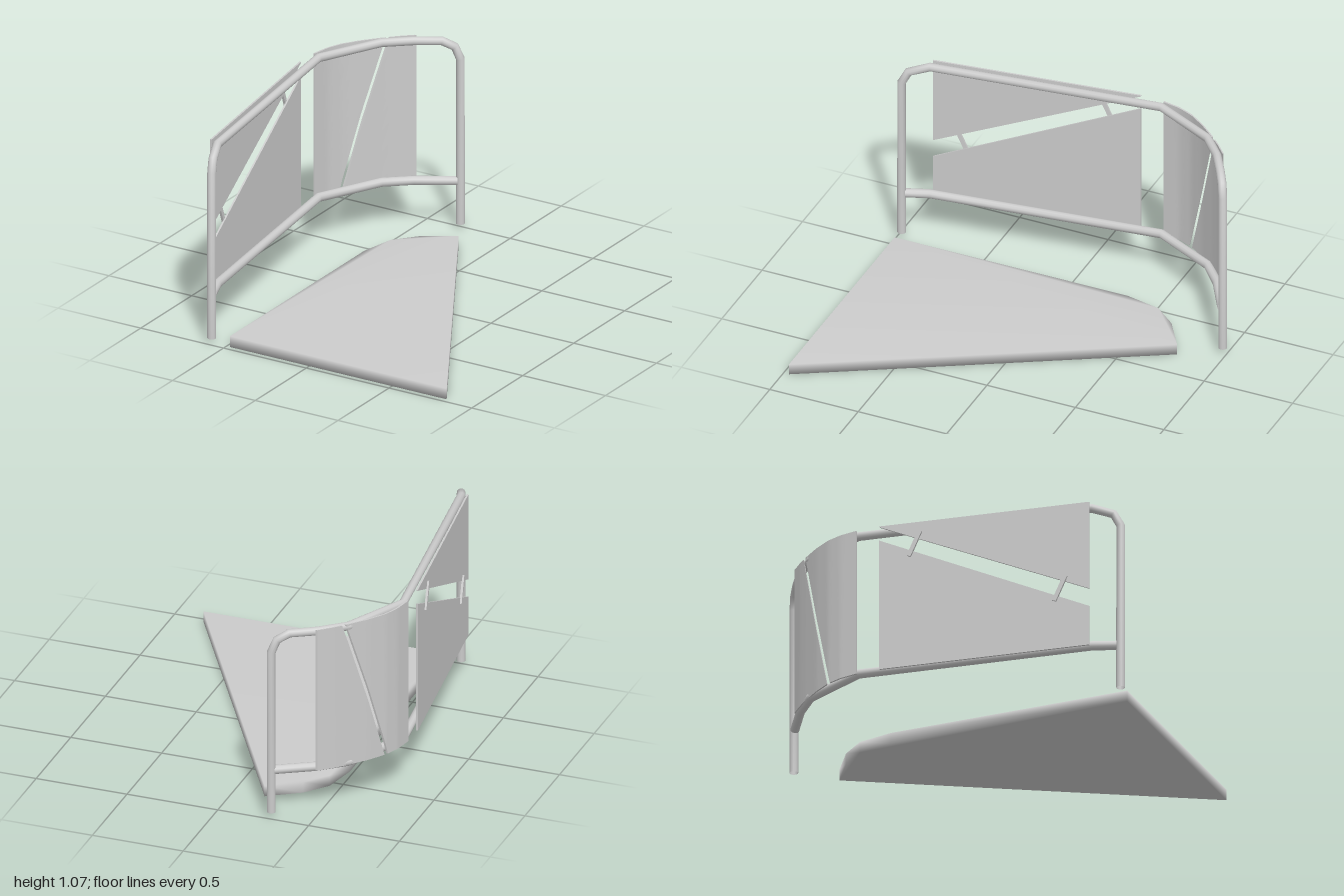
import * as THREE from 'three';
import { mergeVertices } from 'three/addons/utils/BufferGeometryUtils.js';

const grey = new THREE.MeshStandardMaterial({ color: 0xcccccc });
const greyBoth = new THREE.MeshStandardMaterial({ color: 0xcccccc, side: THREE.DoubleSide });

// Polyline path with mitred corners
class Polyline extends THREE.Curve {
  constructor(points) {
    super();
    this.p = points.map((q) => new THREE.Vector3(...q));
  }
  index(u) {
    return Math.round(u * (this.p.length - 1));
  }
  getPointAt(u) {
    return this.p[this.index(u)].clone();
  }
  getTangentAt(u) {
    const i = this.index(u), p = this.p, t = new THREE.Vector3();
    if (i > 0) t.add(p[i].clone().sub(p[i - 1]).normalize());
    if (i < p.length - 1) t.add(p[i + 1].clone().sub(p[i]).normalize());
    return t.normalize();
  }
}

function pipe(name, points, radius) {
  const geometry = new THREE.TubeGeometry(new Polyline(points), points.length - 1, radius, 12);
  const mesh = new THREE.Mesh(geometry, greyBoth);
  mesh.name = name;
  return mesh;
}

// Plan lines of the panels: x as a function of z, from [z, x] knots
function planLine(knots) {
  return (z) => {
    let i = 0;
    while (i < knots.length - 2 && z < knots[i + 1][0]) i++;
    const [z0, x0] = knots[i], [z1, x1] = knots[i + 1];
    return x0 + ((x1 - x0) * (z - z0)) / (z1 - z0);
  };
}
const straightLine = planLine([[0.84, -0.674], [-0.27, -0.818]]);
const bentLine = planLine([
  [-0.4, -0.815], [-0.5, -0.795], [-0.58, -0.762], [-0.67, -0.7],
  [-0.765, -0.618], [-0.82, -0.565], [-0.88, -0.498],
]);

// Thin sheet with four [z, y] corners (front low, back low, back high, front high), bent to a plan line
function panel(name, line, [a, b, c, d], segments) {
  const geometry = new THREE.BoxGeometry(1, 1, 0.01, segments, segments, 1);
  const pos = geometry.attributes.position;
  const lerp = THREE.MathUtils.lerp;
  for (let i = 0; i < pos.count; i++) {
    const u = pos.getX(i) + 0.5, v = pos.getY(i) + 0.5;
    const z = lerp(lerp(a[0], b[0], u), lerp(d[0], c[0], u), v);
    const y = lerp(lerp(a[1], b[1], u), lerp(d[1], c[1], u), v);
    pos.setXYZ(i, line(z) + pos.getZ(i), y, z);
  }
  geometry.computeVertexNormals();
  const mesh = new THREE.Mesh(geometry, grey);
  mesh.name = name;
  return mesh;
}

export function createModel() {
  const model = new THREE.Group();
  model.name = 'railingAndPlatform';

  // Wedge-shaped platform with softly shaded edges
  const outline = [
    [-0.48, 0.97], [0.83, 0.97], [-0.17, -0.77], [-0.34, -0.66], [-0.44, -0.54], [-0.48, -0.35],
  ];
  const shape = new THREE.Shape(outline.map(([x, z]) => new THREE.Vector2(x, -z)));
  let slab = new THREE.ExtrudeGeometry(shape, { depth: 0.06, bevelEnabled: false });
  slab.rotateX(-Math.PI / 2);
  slab.deleteAttribute('normal');
  slab.deleteAttribute('uv');
  slab = mergeVertices(slab);
  slab.computeVertexNormals();
  const platform = new THREE.Mesh(slab, grey);
  platform.name = 'platform';
  model.add(platform);

  // Tubular frame: posts and handrail in one bent pipe, plus the lower rail
  const bends = [[-0.79, -0.4], [-0.62, -0.74], [-0.49, -0.85]];
  const frame = new THREE.Group();
  frame.name = 'frame';
  frame.add(
    pipe('handrailWithPosts', [
      [-0.585, 0.03, 0.978], [-0.585, 0.95, 0.978], [-0.598, 1.015, 0.945], [-0.637, 1.05, 0.84],
      ...bends.map(([x, z]) => [x, 1.05, z]),
      [-0.365, 1.05, -0.925], [-0.31, 1.018, -0.96], [-0.285, 0.95, -0.975], [-0.285, 0.03, -0.975],
    ], 0.023),
    pipe('lowerRail', [
      [-0.593, 0.27, 0.96], [-0.637, 0.27, 0.84],
      ...bends.map(([x, z]) => [x, 0.27, z]),
      [-0.295, 0.27, -0.965],
    ], 0.024),
  );
  model.add(frame);

  // Infill panels on the outer side of the rails, split by slanted gaps
  const panels = new THREE.Group();
  panels.name = 'infillPanels';
  panels.add(
    panel('frontLowerPanel', straightLine, [[0.84, 0.26], [-0.27, 0.26], [-0.27, 0.99], [0.84, 0.48]], 4),
    panel('frontUpperPanel', straightLine, [[0.84, 0.58], [-0.27, 1.066], [-0.27, 1.07], [0.84, 1.07]], 4),
    panel('bentFrontPanel', bentLine, [[-0.4, 0.26], [-0.568, 0.26], [-0.769, 1.07], [-0.4, 1.07]], 16),
    panel('bentBackPanel', bentLine, [[-0.588, 0.26], [-0.88, 0.26], [-0.88, 1.07], [-0.786, 1.07]], 16),
  );
  model.add(panels);

  // Small straps bridging the gap between the two front panels
  for (const [z, y] of [[0.688, 0.597], [-0.082, 0.948]]) {
    const strap = new THREE.Mesh(new THREE.BoxGeometry(0.012, 0.15, 0.022), grey);
    strap.position.set(straightLine(z) - 0.009, y, z);
    strap.rotation.set(0.42, 0.13, 0, 'YXZ');
    strap.name = 'panelStrap';
    model.add(strap);
  }

  return model;
}
